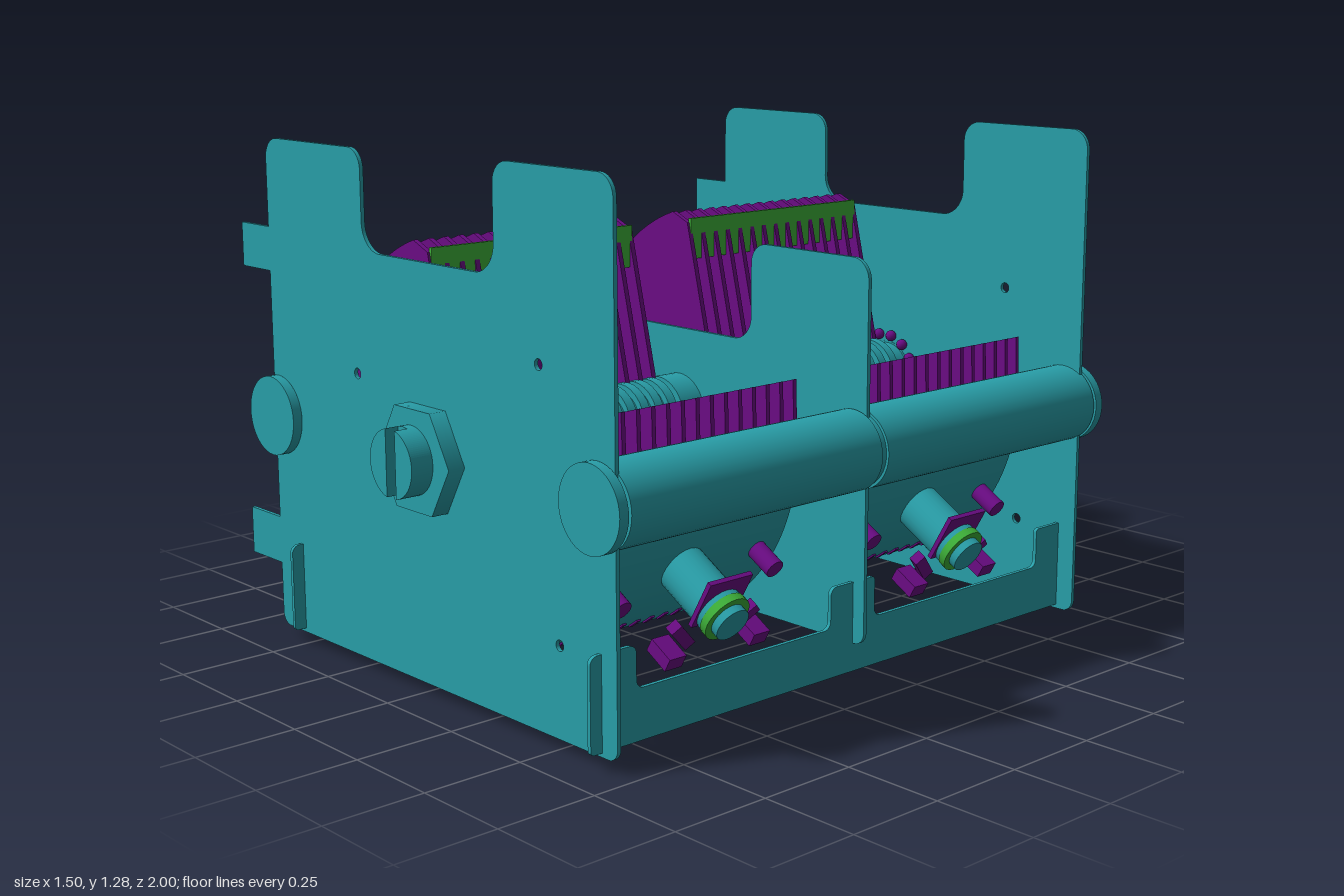
import * as THREE from 'three';

const mat = (color) => new THREE.MeshStandardMaterial({ color, side: THREE.DoubleSide });
const rad = THREE.MathUtils.degToRad;
const AX = 0.046, AY = 0.58; // shaft axis
const GANGS = [-0.61, 0.2], PACK = 0.61; // start and depth of each plate pack

export function createModel() {
  const root = new THREE.Group();
  const teal = mat(0x29a0aa), purple = mat(0x6c0c86), green = mat(0x3fb43a);

  const add = (name, geo, m, x = 0, y = 0, z = 0, parent = root) => {
    const mesh = new THREE.Mesh(geo, m);
    mesh.name = name;
    mesh.position.set(x, y, z);
    parent.add(mesh);
    return mesh;
  };
  // Cylinder along z between two depths
  const cylZ = (name, r, x, y, z0, z1, m, sides = 40) =>
    add(name, new THREE.CylinderGeometry(r, r, z1 - z0, sides).rotateX(Math.PI / 2), m, x, y, (z0 + z1) / 2);
  // Cylinder along x between two positions
  const cylX = (name, r, x0, x1, m, parent, z = 0) =>
    add(name, new THREE.CylinderGeometry(r, r, x1 - x0, 24).rotateZ(Math.PI / 2), m, (x0 + x1) / 2, 0, z, parent);
  // Polygon of [x, y, cornerRadius]
  const roundedShape = (pts) => {
    const s = new THREE.Shape();
    pts.forEach(([x, y, r = 0], i) => {
      const p = new THREE.Vector2(x, y);
      const toward = (q, d) => new THREE.Vector2(q[0], q[1]).sub(p).setLength(d).add(p);
      const prev = pts.at(i - 1), next = pts[(i + 1) % pts.length];
      const a = toward(prev, r), b = toward(next, r);
      i ? s.lineTo(a.x, a.y) : s.moveTo(a.x, a.y);
      if (r) {
        const c = toward(prev, r * 0.45), d = toward(next, r * 0.45);
        s.bezierCurveTo(c.x, c.y, d.x, d.y, b.x, b.y);
      }
    });
    s.closePath();
    return s;
  };
  const hole = (s, x, y, r) => s.holes.push(new THREE.Path().absarc(x, y, r, 0, Math.PI * 2, true));
  const sheet = (s, depth) =>
    new THREE.ExtrudeGeometry(s, { depth, bevelEnabled: false, curveSegments: 24 }).translate(0, 0, -depth / 2);

  // End plates with a top notch and two side tabs
  const endShape = roundedShape([
    [-0.61, 0.03, 0.03], [0.705, 0.03, 0.03], [0.705, 1.28, 0.05], [0.305, 1.28, 0.05], [0.305, 1.03, 0.07],
    [-0.2, 1.03, 0.07], [-0.2, 1.27, 0.05], [-0.61, 1.27, 0.05], [-0.61, 1.05], [-0.735, 1.05],
    [-0.735, 0.94], [-0.61, 0.94], [-0.61, 0.31], [-0.745, 0.31], [-0.745, 0.19], [-0.61, 0.19],
  ]);
  [[-0.235, 0.735], [0.455, 0.855], [0.515, 0.245]].forEach(([x, y]) => hole(endShape, x, y, 0.013));
  add('frontPlate', sheet(endShape, 0.01), teal, 0, 0, 0.893);
  add('backPlate', sheet(endShape, 0.01), teal, 0, 0, -0.656);

  // Divider between the two gangs
  const midShape = roundedShape([
    [-0.6, 0.11, 0.03], [0.69, 0.11, 0.03], [0.69, 1.03, 0.05], [0.305, 1.03, 0.05],
    [0.305, 0.79, 0.06], [-0.2, 0.79, 0.06], [-0.2, 1.03, 0.05], [-0.6, 1.03, 0.05],
  ]);
  add('dividerPlate', sheet(midShape, 0.01), teal, 0, 0, 0.12);

  // Side tie rods with end caps
  for (const x of [-0.585, 0.65]) {
    cylZ('tieRodBack', 0.097, x, AY, -0.66, 0.11, teal);
    cylZ('tieRodCore', 0.09, x, AY, 0.1, 0.14, teal);
    cylZ('tieRodFront', 0.097, x, AY, 0.13, 0.89, teal);
    cylZ('rodCapFront', 0.1, x, AY, 0.9, 0.925, teal);
    cylZ('rodCapBack', 0.1, x, AY, -0.69, -0.665, teal);
  }

  // Bottom rails, profile drawn in z and y
  const railShape = roundedShape([
    [-0.68, 0.04, 0.01], [0.93, 0.04, 0.01], [0.93, 0.26, 0.02], [0.8, 0.26, 0.02], [0.8, 0.16, 0.02], [0.2, 0.16, 0.02],
    [0.2, 0.26, 0.02], [0.05, 0.26, 0.01], [0.05, 0.16, 0.02], [-0.56, 0.16, 0.02], [-0.56, 0.26, 0.01], [-0.68, 0.26, 0.02],
  ]);
  for (const x of [-0.51, 0.65]) add('bottomRail', sheet(railShape, 0.01).rotateY(-Math.PI / 2), teal, x);

  // Shaft, rear spindle and knob
  cylZ('shaftCore', 0.075, AX, AY, -0.69, 0.89, teal);
  cylZ('shaftSleeve', 0.093, AX, AY, 0.005, 0.195, teal);
  cylZ('rearBushing', 0.08, AX, AY, -0.69, -0.65, teal);
  cylZ('spindle', 0.04, AX, AY, -0.86, -0.69, teal);
  cylZ('spindleKnob', 0.067, AX, AY, -1, -0.85, teal);

  // Front nut and slotted screw
  cylZ('hexNut', 0.138, AX, AY, 0.89, 0.942, teal, 6).geometry.rotateZ(Math.PI / 2);
  cylZ('screwBase', 0.082, AX - 0.004, AY, 0.94, 0.965, teal);
  const half = new THREE.Shape().absarc(0, 0, 0.082, -1.35, 1.35);
  half.closePath();
  for (const a of [0, Math.PI]) add('screwHeadHalf', sheet(half, 0.05).rotateZ(a), teal, AX - 0.004, AY, 0.975);

  // Bearing balls at both ends of the shaft
  for (const z of [0.87, -0.64])
    for (let i = 0; i < 14; i++) {
      const a = (i / 14) * Math.PI * 2;
      add('bearingBall', new THREE.SphereGeometry(0.015, 10, 8), purple,
        AX + 0.1 * Math.cos(a), AY + 0.1 * Math.sin(a), z);
    }

  // Rotor vane: half disc with a clipped leading tip and a slightly smaller trailing side
  const rotor = new THREE.Shape();
  rotor.moveTo(-0.1, 0.455);
  for (let i = 0; i <= 40; i++) {
    const t = i / 40, a = rad(108 + 162 * t);
    const r = 0.503 - 0.03 * THREE.MathUtils.smoothstep(t, 0.45, 0.6);
    rotor.lineTo(r * Math.cos(a), r * Math.sin(a));
  }
  rotor.lineTo(0.01, 0);
  rotor.closePath();
  const rotorGeo = sheet(rotor, 0.013);

  // Stator vane: half disc around the shaft with a raised right tip
  const stator = new THREE.Shape();
  stator.moveTo(0.505, 0.165);
  stator.lineTo(0.51, 0.02);
  stator.absarc(0, 0, 0.485, -0.05, -Math.PI + 0.1, true);
  stator.lineTo(-0.12, -0.015);
  stator.absarc(0, 0, 0.12, Math.PI + 0.13, Math.PI * 2 + 0.4, false);
  stator.closePath();
  const statorGeo = sheet(stator, 0.011);

  // Solder lug with an eyelet
  const lug = roundedShape([[0, -0.025], [0.17, -0.025, 0.024], [0.17, 0.025, 0.024], [0, 0.025]]);
  hole(lug, 0.145, 0, 0.01);

  // Curved holder, insulated post and clip; local +x points outward from the shaft axis.
  // from, to: arc ends in degrees about the post; inner: arc end carrying the vane tabs
  const buildHolder = (name, angle, from, to, inner, zc, pegs) => {
    const g = new THREE.Group();
    g.name = name;
    g.position.set(AX, AY, zc);
    g.rotation.z = rad(angle);
    const arc = new THREE.Shape();
    arc.absarc(0, 0, 0.498, rad(from), rad(to), false);
    arc.absarc(0, 0, 0.488, rad(to), rad(from), true);
    arc.closePath();
    add('holderSheet', sheet(arc, PACK), teal, 0, 0, 0, g);
    for (let i = 0; i < 14; i++)
      add('vaneTab', new THREE.BoxGeometry(0.012, 0.035, 0.012), purple,
        0.496 * Math.cos(rad(inner)), 0.496 * Math.sin(rad(inner)), -PACK / 2 + (i + 0.5) * PACK / 14, g).rotation.z = rad(inner);
    cylX('insulatorPost', 0.06, 0.49, 0.65, teal, g);
    cylX('insulatorRing', 0.062, 0.65, 0.67, green, g);
    cylX('postCap', 0.045, 0.67, 0.69, teal, g);
    add('clipPlate', new THREE.BoxGeometry(0.012, 0.13, 0.13), purple, 0.63, 0.025, 0, g);
    for (const s of [-1, 1]) {
      add('clipArm', new THREE.BoxGeometry(0.025, 0.1, 0.03), purple, 0.635, -0.055, s * 0.09, g).rotation.x = s * 0.8;
      add('clipFoot', new THREE.BoxGeometry(0.07, 0.035, 0.05), purple, 0.65, -0.085, s * 0.13, g);
      if (pegs) cylX('holderPeg', 0.024, 0.46, 0.57, purple, g, s * 0.235);
      else add('solderLug', sheet(lug, 0.008).rotateX(Math.PI / 2), teal, 0.49, 0.01, s * 0.235, g);
    }
    root.add(g);
  };

  // Two gangs of interleaved vanes
  for (const z0 of GANGS) {
    const step = PACK / 14, zc = z0 + PACK / 2;
    for (let i = 0; i < 15; i++) {
      const z = z0 + i * step;
      add('rotorVane', rotorGeo, purple, AX, AY, z);
      if (i === 14) break;
      add('statorVane', statorGeo, purple, AX, AY, z + step / 2);
      cylZ('shaftSpacer', 0.092, AX, AY, z + 0.009, z + step - 0.009, teal, 28);
    }
    // Spacer strip across the leading tips of the rotor
    add('rotorStrip', new THREE.BoxGeometry(0.01, 0.105, PACK), green, AX - 0.098, AY + 0.413, zc);
    buildHolder('rightPost', -30, -28, 27, -25, zc, true);
    buildHolder('leftPost', -127, -26, 25, 22, zc, false);
  }
  return root;
}
